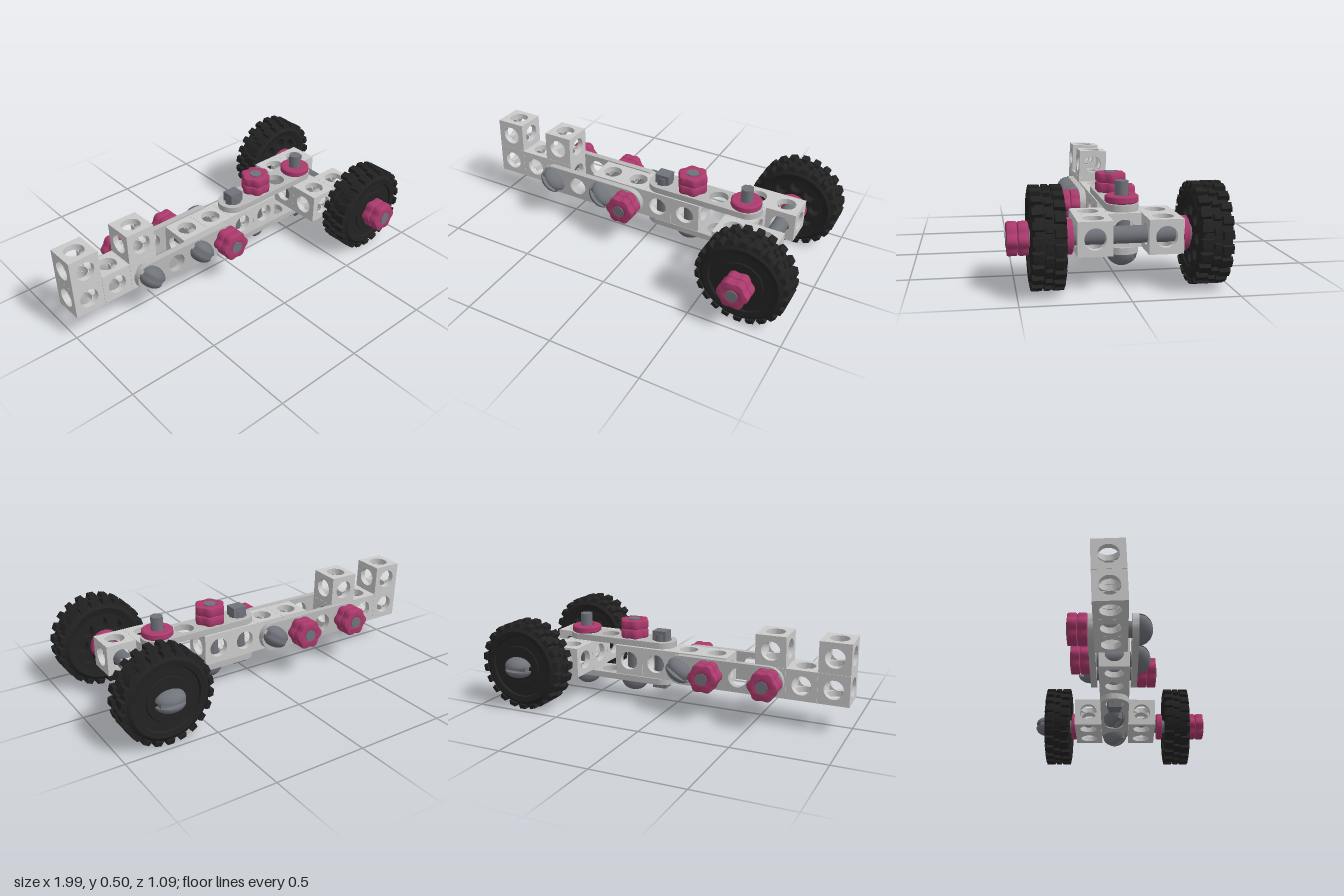
import * as THREE from 'three';
import { mergeGeometries, toCreasedNormals } from 'three/addons/utils/BufferGeometryUtils.js';

const material = (color) => new THREE.MeshStandardMaterial({ color, side: THREE.DoubleSide });
const LIGHT = material(0xcccccc);
const STRAP = material(0xb8b9b8);
const STEEL = material(0x70737a);
const PINK = material(0xac3a6d);
const RUBBER = material(0x222222);

const CELL = 0.166, HOLE = 0.052, AXIS_Y = 0.253, MID_Z = -0.03;

function mesh(name, geometry, mat, y = 0) {
  const m = new THREE.Mesh(geometry, mat);
  m.name = name;
  m.position.y = y;
  return m;
}

function group(name, ...children) {
  const g = new THREE.Group();
  g.name = name;
  if (children.length) g.add(...children);
  return g;
}

const crease = (geometry) => toCreasedNormals(geometry, 0.6);
const cylinder = (r, h, n = 24) => new THREE.CylinderGeometry(r, r, h, n);

function addHole(shape, x, y, r) {
  const hole = new THREE.Path();
  hole.absarc(x, y, r, 0, Math.PI * 2, true);
  shape.holes.push(hole);
}

// Cube bored through along all three axes: six drilled walls
function cellGeometry() {
  const h = CELL / 2, wall = 0.032;
  const s = new THREE.Shape([[-h, -h], [h, -h], [h, h], [-h, h]].map(([x, y]) => new THREE.Vector2(x, y)));
  addHole(s, 0, 0, HOLE);
  const face = new THREE.ExtrudeGeometry(s, { depth: wall, bevelEnabled: false, curveSegments: 14 });
  face.translate(0, 0, h - wall);
  const sides = [0, 1, 2, 3].map((i) => face.clone().rotateY(i * Math.PI / 2));
  return crease(mergeGeometries([...sides, face.clone().rotateX(Math.PI / 2), face.clone().rotateX(-Math.PI / 2)]));
}

function block(name, cells) {
  const geometry = cellGeometry();
  const parts = cells.map(([x, y, z]) => geometry.clone().translate(x * 0.167, y * 0.167, z * 0.167));
  return mesh(name, mergeGeometries(parts), LIGHT);
}

// Flat strap with rounded ends and four holes, starting at its first hole
function strapGeometry() {
  const s = new THREE.Shape(), end = 0.5, r = 0.081;
  s.absarc(end, 0, r, -Math.PI / 2, Math.PI / 2);
  s.absarc(0, 0, r, Math.PI / 2, Math.PI * 1.5);
  for (let i = 0; i < 4; i++) addHole(s, i * end / 3, 0, HOLE);
  const g = new THREE.ExtrudeGeometry(s, { depth: 0.034, bevelEnabled: false, curveSegments: 14 });
  return crease(g.translate(0, 0, -0.017));
}

// Six-lobed nut in two tiers, rising from y = 0
function nut() {
  const points = [];
  for (let i = 0; i < 48; i++) {
    const a = i / 48 * Math.PI * 2, r = 0.07 + 0.006 * Math.cos(6 * a);
    points.push(new THREE.Vector2(r * Math.cos(a), r * Math.sin(a)));
  }
  const shape = new THREE.Shape(points);
  addHole(shape, 0, 0, 0.036);
  const tier = new THREE.ExtrudeGeometry(shape, {
    depth: 0.034, bevelSize: 0.007, bevelThickness: 0.008, bevelSegments: 2, curveSegments: 10,
  });
  tier.rotateX(-Math.PI / 2).translate(0, 0.008, 0);
  return mesh('nut', crease(mergeGeometries([tier, tier.clone().translate(0, 0.052, 0)])), PINK);
}

// Oval domed head split by a slot, hanging below y = 0
function boltHead() {
  const halves = [0, Math.PI].flatMap((start, i) => {
    const z = i ? -0.012 : 0.012;
    const dome = new THREE.SphereGeometry(1, 14, 7, start, Math.PI, Math.PI / 2, Math.PI / 2);
    const flat = new THREE.CircleGeometry(1, 14, Math.PI, Math.PI);
    return [dome, flat].map((g) => g.scale(0.078, 0.068, 0.046).translate(0, 0, z));
  });
  const core = new THREE.BoxGeometry(0.13, 0.036, 0.026).translate(0, -0.018, 0);
  return mesh('boltHead', mergeGeometries([...halves, core]), STEEL);
}

// Bolt along +y with its head at 'from'; the nut sits at 'to'
function bolt(name, from, to, spin = 0, withNut = true) {
  const head = boltHead();
  head.position.y = from;
  head.rotation.y = spin;
  const top = to + 0.106;
  const shaft = mesh('shaft', cylinder(0.042, to - from + 0.01, 20), STEEL, (from + to) / 2);
  const tip = mesh('tip', cylinder(0.034, top - to, 8), STEEL, (to + top) / 2);
  const g = group(name, head, shaft, tip);
  if (withNut) {
    const n = nut();
    n.position.y = to;
    g.add(n);
  }
  return g;
}

const washer = (y) => mesh('washer', crease(new THREE.LatheGeometry(
  [[0.04, -0.019], [0.076, -0.019], [0.083, -0.013], [0.083, 0.013], [0.076, 0.019], [0.04, 0.019]]
    .map(([r, h]) => new THREE.Vector2(r, h)), 32)), PINK, y);

// Wheel around y; the plain face is at +y, the pocketed one at -y
function wheel(name) {
  const profile = [
    [0.03, -0.02], [0.166, -0.02], [0.166, -0.072], [0.2, -0.08], [0.226, -0.062], [0.226, 0.062], [0.2, 0.08],
    [0.172, 0.077], [0.167, 0.066], [0.118, 0.066], [0.114, 0.072], [0.03, 0.072],
  ].map(([r, y]) => new THREE.Vector2(r, y));
  const tyre = mesh('tyre', crease(new THREE.LatheGeometry(profile, 48)), RUBBER);

  const disc = new THREE.Shape().absarc(0, 0, 0.168, 0, Math.PI * 2);
  addHole(disc, 0, 0, 0.04);
  for (let i = 0; i < 8; i++) {
    const a = i * Math.PI / 4;
    addHole(disc, 0.115 * Math.cos(a), 0.115 * Math.sin(a), 0.033);
  }
  const plate = new THREE.ExtrudeGeometry(disc, { depth: 0.045, bevelEnabled: false, curveSegments: 16 });
  const hub = mesh('pocketedHub', crease(plate.rotateX(Math.PI / 2)), RUBBER, -0.02);

  // Tread lugs: two staggered shoulder rows and a narrow centre row
  const lugs = [], count = 22;
  for (const [y, width, length, shift] of [[-0.05, 0.058, 0.042, 0], [0.05, 0.058, 0.042, 0.5], [0, 0.036, 0.03, 0.25]]) {
    for (let i = 0; i < count; i++) {
      const lug = new THREE.BoxGeometry(0.026, width, length);
      const p = lug.attributes.position;
      for (let k = 0; k < p.count; k++) if (p.getX(k) > 0) p.setXYZ(k, p.getX(k), p.getY(k) * 0.82, p.getZ(k) * 0.82);
      lug.computeVertexNormals();
      lugs.push(lug.translate(0.232, y, 0).rotateY((i + shift) / count * Math.PI * 2));
    }
  }
  return group(name, tyre, hub, mesh('tread', mergeGeometries(lugs), RUBBER));
}

export function createModel() {
  const model = group('model');
  const place = (part, x, y, z, rx = 0) => {
    part.position.set(x, y, z);
    part.rotation.x = rx;
    model.add(part);
    return part;
  };
  const FRONT = Math.PI / 2, BACK = -Math.PI / 2;

  // Drilled blocks
  place(block('tailBlock', [[0, 0, 0], [1, 0, 0], [2, 0, 0], [0, 1, 0], [2, 1, 0]]), -0.917, 0.25, -0.047, -0.04);
  place(block('middleBeam', [0, 1, 2, 3].map((i) => [i, 0, 0])), -0.247, AXIS_Y, MID_Z);
  place(block('axleFork', [[0, 0, 0], [0, 0, 1], [0, 0, -1], [1, 0, 1], [1, 0, -1]]), 0.573, AXIS_Y, MID_Z);

  // Straps joining the blocks
  for (const z of [0.077, -0.142]) place(mesh('sideStrap', strapGeometry(), STRAP), -0.58, AXIS_Y, z);
  for (const y of [0.358, 0.149]) place(mesh('levelStrap', strapGeometry(), STRAP), 0.082, y, MID_Z, FRONT);

  // Crosswise bolts
  place(bolt('tailBolt', -0.095, 0.16, 0.8), -0.58, AXIS_Y, 0, BACK);
  place(bolt('rearBeamBolt', -0.095, 0.16, 0.8), -0.25, AXIS_Y, 0, BACK);
  place(bolt('centreBeamBolt', -0.16, 0.095, 0.6), -0.08, AXIS_Y, 0, FRONT);

  // Upright bolts and the square-ended pin
  place(bolt('frontBeamBolt', 0.13, 0.377, 0.5), 0.257, 0, MID_Z);
  const forkBolt = bolt('forkBolt', 0.13, 0.377, 0.9, false);
  forkBolt.add(washer(0.395));
  place(forkBolt, 0.573, 0, MID_Z);
  const pinEnd = (y, h) => mesh('pinEnd', new THREE.BoxGeometry(0.08, h, 0.07), STEEL, y);
  place(group('pin', mesh('pinShaft', cylinder(0.042, 0.3, 20), STEEL, 0.26), pinEnd(0.403, 0.054), pinEnd(0.116, 0.034)),
    0.087, 0, MID_Z);

  // Axle with washers and wheels
  const axle = bolt('axle', -0.475, 0.438);
  axle.add(washer(0.255), washer(-0.293));
  place(axle, 0.743, AXIS_Y, 0, FRONT);
  place(wheel('frontWheel'), 0.743, AXIS_Y, 0.36, FRONT);
  place(wheel('backWheel'), 0.743, AXIS_Y, -0.393, BACK);

  return model;
}
